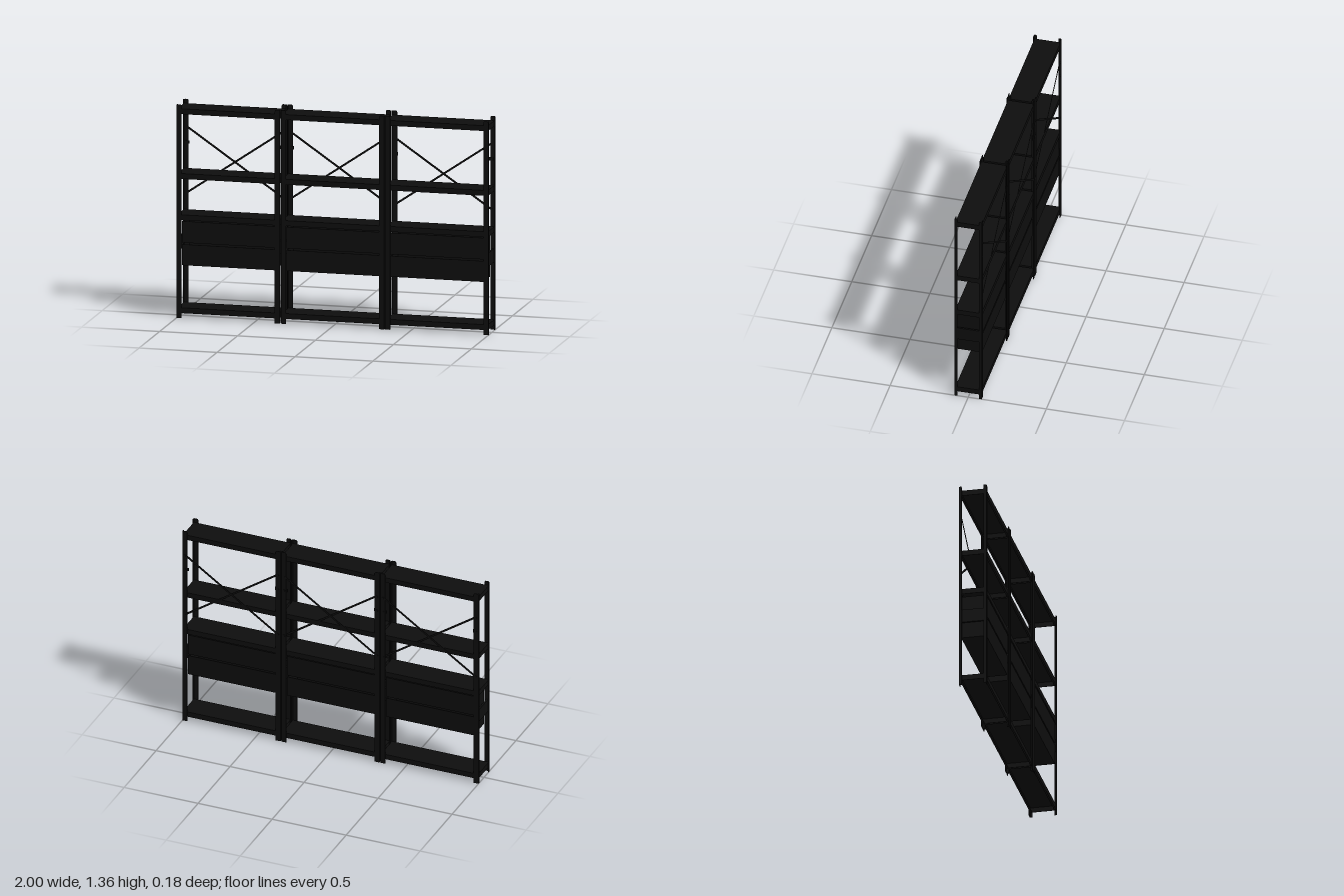
import * as THREE from 'three';

const mat = new THREE.MeshStandardMaterial({ color: 0x0e0e0e });
const HALF_W = 0.331, HALF_D = 0.087, HEIGHT = 1.355, T = 0.004;

function add(parent, name, geo, x = 0, y = 0, z = 0) {
  const mesh = new THREE.Mesh(geo, mat);
  mesh.name = name;
  mesh.position.set(x, y, z);
  parent.add(mesh);
  return mesh;
}

function box(parent, name, w, h, d, x, y, z) {
  return add(parent, name, new THREE.BoxGeometry(w, h, d), x, y, z);
}

// Upright strip with rounded top corners, centred in x and z
function flange(w) {
  const r = Math.min(0.01, w * 0.4), s = new THREE.Shape();
  s.moveTo(-w / 2, 0);
  s.lineTo(w / 2, 0);
  s.lineTo(w / 2, HEIGHT - r);
  s.quadraticCurveTo(w / 2, HEIGHT, w / 2 - r, HEIGHT);
  s.lineTo(-w / 2 + r, HEIGHT);
  s.quadraticCurveTo(-w / 2, HEIGHT, -w / 2, HEIGHT - r);
  const g = new THREE.ExtrudeGeometry(s, { depth: T, bevelEnabled: false, curveSegments: 5 });
  return g.translate(0, 0, -T / 2);
}

// Angle-section post with its corner outwards
function post(sx, sz) {
  const g = new THREE.Group(), w = 0.032, d = 0.018;
  g.name = 'post';
  add(g, 'postFace', flange(w), sx * (HALF_W - w / 2), 0, sz * (HALF_D - T / 2));
  add(g, 'postSide', flange(d).rotateY(Math.PI / 2), sx * (HALF_W - T / 2), 0, sz * (HALF_D - d / 2));
  return g;
}

// Folded sheet shelf: top plate, edges turned down and lips turned in
function shelf(top) {
  const g = new THREE.Group(), w = 0.654, d = 0.166, h = 0.034, t = 0.003, lip = 0.012;
  g.name = 'shelf';
  g.position.y = top;
  box(g, 'shelfTop', w, t, d, 0, -t / 2, 0);
  for (const s of [-1, 1]) {
    box(g, 'shelfLongEdge', w, h, t, 0, -h / 2, s * (d - t) / 2);
    box(g, 'shelfShortEdge', t, h, d, s * (w - t) / 2, -h / 2, 0);
    box(g, 'shelfLip', w, t, lip, 0, -h + t / 2, s * (d - lip) / 2);
  }
  return g;
}

// Open-topped drawer
function drawer(y0, y1) {
  const g = new THREE.Group(), w = 0.594, d = 0.16, t = 0.005, h = y1 - y0;
  g.name = 'drawer';
  g.position.y = y0;
  box(g, 'drawerBottom', w, t, d, 0, t / 2, 0);
  for (const s of [-1, 1]) {
    box(g, s > 0 ? 'drawerFront' : 'drawerBack', w, h, t, 0, h / 2, s * (d - t) / 2);
    box(g, 'drawerSide', t, h, d, s * (w - t) / 2, h / 2, 0);
  }
  return g;
}

// One shelving bay
function bay() {
  const g = new THREE.Group();
  g.name = 'bay';
  for (const sx of [-1, 1]) for (const sz of [-1, 1]) g.add(post(sx, sz));
  for (const top of [0.065, 0.655, 0.917, 1.328]) g.add(shelf(top));
  g.add(drawer(0.335, 0.467), drawer(0.478, 0.614));

  for (const s of [-1, 1]) {
    // Drawer runners between the posts
    box(g, 'drawerRunner', 0.012, 0.085, 0.16, s * 0.318, 0.472, 0);
    // Diagonal brace across the back
    const len = Math.hypot(0.632, 0.43);
    const brace = box(g, 'brace', len, 0.012, 0.003, 0, 0.972, -0.081 - (s > 0 ? 0.004 : 0));
    brace.rotation.z = s * Math.atan2(0.43, 0.632);
    // Clips and bolts on the back posts
    box(g, 'clip', 0.026, 0.02, 0.006, s * 0.305, 1.083, -0.081);
    for (const y of [0.762, 1.083, 1.182]) {
      const bolt = add(g, 'bolt', new THREE.CylinderGeometry(0.007, 0.007, 0.004, 12), s * 0.314, y, -0.088);
      bolt.rotation.x = Math.PI / 2;
    }
  }
  return g;
}

export function createModel() {
  const model = new THREE.Group();
  model.name = 'shelvingUnit';
  for (const x of [-0.669, 0, 0.669]) {
    const b = bay();
    b.position.x = x;
    model.add(b);
  }
  return model;
}
